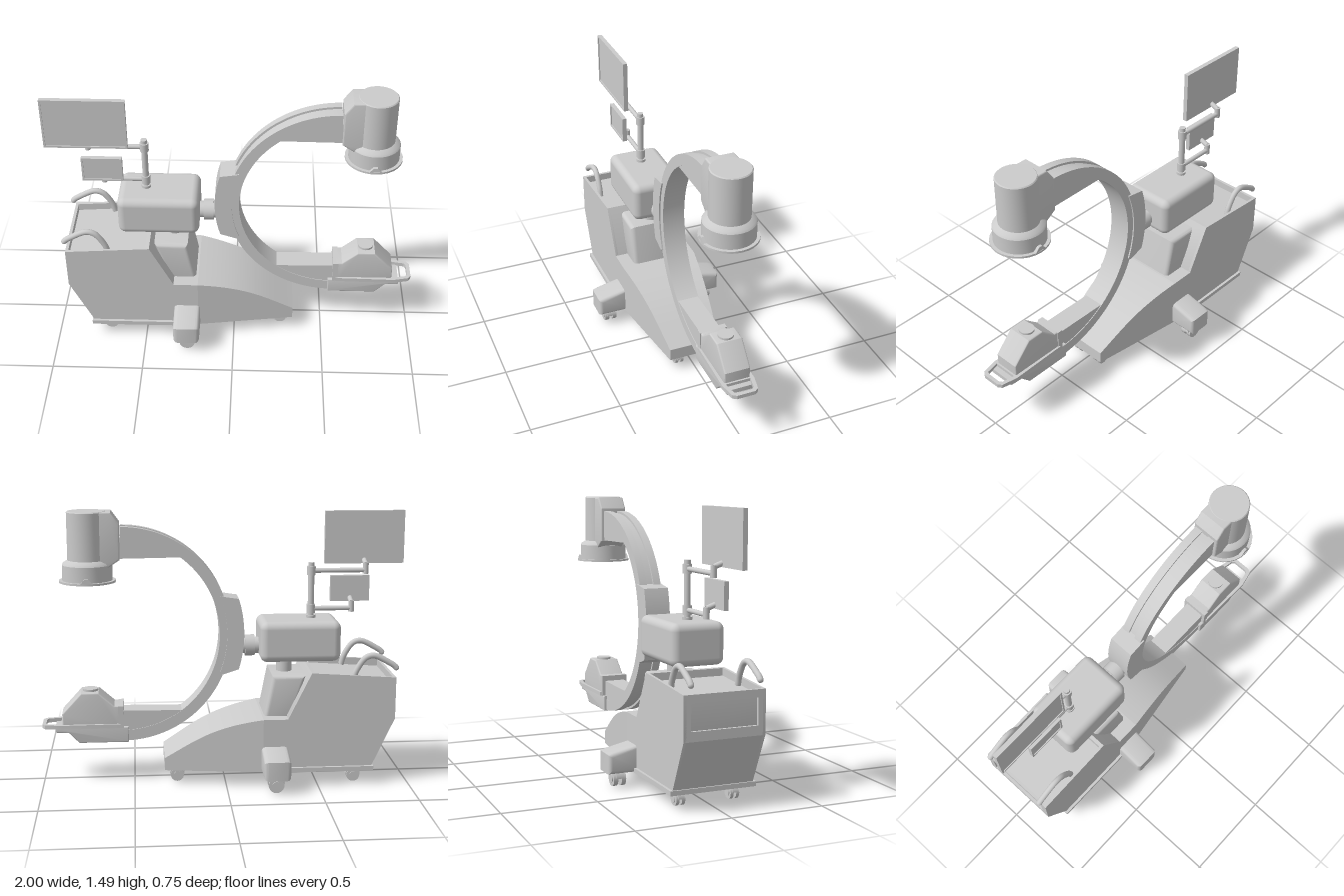
import * as THREE from 'three';
import { toCreasedNormals } from 'three/addons/utils/BufferGeometryUtils.js';
import { RoundedBoxGeometry } from 'three/addons/geometries/RoundedBoxGeometry.js';

const material = new THREE.MeshStandardMaterial({ color: 0xcccccc });

export function createModel() {
  const model = new THREE.Group();

  const add = (name, geometry, x = 0, y = 0, z = 0, parent = model) => {
    const mesh = new THREE.Mesh(geometry, material);
    mesh.name = name;
    mesh.position.set(x, y, z);
    parent.add(mesh);
    return mesh;
  };
  const poly = (pts) => new THREE.Shape(pts.map(([x, y]) => new THREE.Vector2(x, y)));
  // Side profile in x/y swept from z0 to z1, with an optional rounded edge
  const slab = (shape, z0, z1, bevel = 0) => {
    const geometry = new THREE.ExtrudeGeometry(shape, {
      depth: z1 - z0 - 2 * bevel, curveSegments: 48, bevelEnabled: bevel > 0,
      bevelSize: bevel, bevelThickness: bevel, bevelOffset: -bevel, bevelSegments: 4,
    }).translate(0, 0, z0 + bevel);
    return toCreasedNormals(geometry, 0.5);
  };
  const box = (name, x0, x1, y0, y1, z0, z1, parent) =>
    add(name, new THREE.BoxGeometry(x1 - x0, y1 - y0, z1 - z0),
      (x0 + x1) / 2, (y0 + y1) / 2, (z0 + z1) / 2, parent);
  // Cylinder between two points
  const rod = (name, a, b, r, parent = model) => {
    const p = new THREE.Vector3(...a), q = new THREE.Vector3(...b);
    const d = q.clone().sub(p);
    const mesh = add(name, new THREE.CylinderGeometry(r, r, d.length(), 28), 0, 0, 0, parent);
    mesh.position.copy(p).add(q).multiplyScalar(0.5);
    mesh.quaternion.setFromUnitVectors(new THREE.Vector3(0, 1, 0), d.normalize());
    return mesh;
  };

  // Cabinet with a sunken top tray and a framed rear panel
  const core = [[-0.79, 0.09], [-0.335, 0.09], [-0.335, 0.38], [-0.46, 0.632],
    [-0.48, 0.63], [-0.48, 0.59], [-0.905, 0.56], [-0.905, 0.37]];
  add('cabinet', slab(poly(core), -0.205, 0.205));
  const wall = poly([[-0.79, 0.09], [-0.335, 0.09], [-0.335, 0.38], [-0.46, 0.632],
    [-0.92, 0.6], [-0.92, 0.37]]);
  for (const s of [-1, 1]) add('cabinetSide', slab(wall, s * 0.2125 - 0.0075, s * 0.2125 + 0.0075));
  const frame = poly([[-0.22, 0.37], [0.22, 0.37], [0.22, 0.6], [-0.22, 0.6]]);
  frame.holes.push(new THREE.Path(poly([[-0.18, 0.42], [-0.18, 0.56], [0.18, 0.56], [0.18, 0.42]]).getPoints()));
  add('rearFrame', slab(frame, 0, 0.016).rotateY(Math.PI / 2), -0.92);
  add('rearSlope', slab(poly([[-0.92, 0.37], [-0.79, 0.09], [-0.77, 0.09], [-0.9, 0.37]]), -0.21, 0.21));
  box('basePlate', -0.805, -0.335, 0.08, 0.105, -0.235, 0.235);

  // Low front body, curved on top and tapering forward
  box('frontBodyRear', -0.335, -0.2, 0.08, 0.376, -0.22, 0.22);
  const nose = new THREE.Shape();
  nose.moveTo(-0.2, 0.08);
  nose.lineTo(0.335, 0.08);
  nose.lineTo(0.335, 0.15);
  nose.bezierCurveTo(0.17, 0.25, 0.08, 0.33, -0.2, 0.376);
  let body = slab(nose, -1, 1);
  const pos = body.attributes.position;
  for (let i = 0; i < pos.count; i++) {
    const t = (pos.getX(i) + 0.2) / 0.535;
    pos.setZ(i, pos.getZ(i) * (0.22 - 0.075 * t));
  }
  body = toCreasedNormals(body, 0.5);
  add('frontBody', body);

  // Push handles above the tray
  const handlePath = new THREE.CatmullRomCurve3([[-0.69, 0.58], [-0.705, 0.63], [-0.755, 0.703], [-0.8, 0.716],
    [-0.89, 0.674], [-0.915, 0.658], [-0.925, 0.647]].map(([x, y]) => new THREE.Vector3(x, y, 0)));
  for (const s of [-1, 1]) {
    add('pushHandle', new THREE.TubeGeometry(handlePath, 40, 0.016, 14), 0, 0, s * 0.185);
    add('handleTip', new THREE.SphereGeometry(0.016, 14, 10), -0.925, 0.647, s * 0.185);
  }

  // Twin-wheel casters
  const caster = (x, z, r, w) => {
    const group = new THREE.Group();
    group.name = 'caster';
    group.position.set(x, 0, z);
    for (const s of [-1, 1]) {
      rod('wheel', [0, r, s * w * 0.3], [0, r, s * w], r, group);
      rod('hub', [0, r, s * w], [0, r, s * (w + 0.004)], r * 0.55, group);
    }
    const hood = new THREE.CylinderGeometry(r * 1.12, r * 1.12, w * 1.3, 24, 1, false, 0, Math.PI)
      .rotateX(Math.PI / 2).rotateZ(Math.PI / 2);
    add('hood', hood, 0, r * 1.1, 0, group);
    rod('stem', [0, r, 0], [0, 0.1, 0], r * 0.45, group);
    model.add(group);
  };

  // Side outriggers
  const outrigger = poly([[0.2, 0.08], [0.375, 0.08], [0.375, 0.185], [0.345, 0.195], [0.2, 0.228]]);
  for (const s of [-1, 1]) {
    const g = slab(outrigger, -0.0725, 0.0725, 0.022).rotateY(-Math.PI / 2);
    const mesh = add('outrigger', g, -0.2625, 0, 0);
    if (s < 0) mesh.rotation.y = Math.PI;
    caster(-0.26, s * 0.3, 0.042, 0.034);
    caster(-0.705, s * 0.15, 0.036, 0.024);
    caster(0.265, s * 0.075, 0.036, 0.024);
  }

  // Column, neck and upper housing
  add('column', slab(poly([[-0.44, 0.6], [-0.36, 0.34], [-0.205, 0.34], [-0.255, 0.6]]), -0.147, 0.147, 0.025));
  rod('neck', [-0.335, 0.58, 0], [-0.335, 0.68, 0], 0.043);
  rod('neckFlange', [-0.335, 0.655, 0], [-0.335, 0.675, 0], 0.057);
  add('upperHousing', new RoundedBoxGeometry(0.44, 0.222, 0.294, 5, 0.04), -0.41, 0.784, 0);
  rod('wristShaft', [-0.22, 0.745, 0], [-0.08, 0.745, 0], 0.046);
  rod('wristCollar', [-0.168, 0.745, 0], [-0.115, 0.745, 0], 0.058);

  // C-shaped arm: web, two outer rails and filled ends
  const cx = 0.555, cy = 0.82;
  const band = (r0, r1, a0 = Math.PI / 2, a1 = Math.PI * 1.5) => {
    const shape = new THREE.Shape();
    shape.absarc(cx, cy, r1, a0, a1, false);
    shape.absarc(cx, cy, r0, a1, a0, true);
    return shape;
  };
  add('arcWeb', slab(band(0.53, 0.578), -0.062, 0.062));
  for (const s of [-1, 1]) add('arcRail', slab(band(0.575, 0.59), s * 0.041 - 0.021, s * 0.041 + 0.021));
  const chord = Math.asin(0.42 / 0.53);
  for (const s of [-1, 1]) {
    const end = new THREE.Shape();
    end.moveTo(0.57, cy + s * 0.42);
    end.lineTo(0.57, cy + s * 0.535);
    end.absarc(cx, cy, 0.535, s * Math.PI / 2, s * (Math.PI - chord), s < 0);
    add('arcEndWeb', slab(end, -0.058, 0.058));
  }
  // Carriage gripping the arc
  const carriage = new THREE.Shape();
  const grip = 0.3;
  carriage.moveTo(0.012, 1.045);
  carriage.absarc(cx, cy, 0.662, Math.PI - grip, Math.PI + grip, false);
  carriage.lineTo(0.012, 0.595);
  carriage.absarc(cx, cy, 0.57, Math.PI + 0.38, Math.PI - 0.38, true);
  add('carriage', slab(carriage, -0.07, 0.07));

  // Upper detector: stepped drum, bracket and bottom flange
  const dx = 0.735;
  const drum = [[0, 1.12], [0.135, 1.12], [0.135, 1.205], [0.128, 1.216], [0.105, 1.23],
    [0.105, 1.485], [0.1, 1.49], [0, 1.49]].map(([r, y]) => new THREE.Vector2(r, y));
  add('detectorDrum', toCreasedNormals(new THREE.LatheGeometry(drum, 48), 0.5), dx);
  add('detectorBracket', slab(poly([[0.56, 1.235], [0.62, 1.195], [dx, 1.195], [dx, 1.488], [0.605, 1.488],
    [0.56, 1.425]]), -0.077, 0.077, 0.008));
  rod('detectorFlange', [dx, 1.11, 0], [dx, 1.121, 0], 0.153);
  for (const s of [-1, 1]) {
    const tab = slab(poly([[-0.035, 0], [0.035, 0], [0.01, 0.028], [-0.01, 0.028]]), -0.01, 0.01);
    add('flangeTab', tab, dx, 1.117, s * 0.14);
  }

  // Lower source: tray, hump, cap and looped guard
  add('sourceBase', slab(poly([[0.53, 0.225], [0.8, 0.225], [0.855, 0.282], [0.93, 0.287], [0.93, 0.312],
    [0.53, 0.312]]), -0.077, 0.077, 0.006));
  add('sourceHump', slab(poly([[0.575, 0.3], [0.89, 0.3], [0.89, 0.39], [0.785, 0.505], [0.69, 0.505],
    [0.605, 0.43], [0.575, 0.43]]), -0.072, 0.072, 0.008));
  box('sourceCollar', 0.555, 0.585, 0.3, 0.43, -0.077, 0.077);
  rod('sourceCap', [0.735, 0.5, 0], [0.735, 0.517, 0], 0.042);
  const guard = poly([[0.575, -0.083], [0.9, -0.09], [0.985, -0.072], [1, -0.05], [1, 0.05], [0.985, 0.072],
    [0.9, 0.09], [0.575, 0.083]]);
  guard.holes.push(new THREE.Path(poly([[0.9, -0.068], [0.9, 0.068], [0.97, 0.055], [0.98, 0.04],
    [0.98, -0.04], [0.97, -0.055]]).getPoints()));
  add('sourceGuard', slab(guard, 0, 0.022).rotateX(-Math.PI / 2), 0, 0.308);

  // Monitor pole, arms and screens
  const px = -0.48;
  rod('monitorPole', [px, 0.88, 0], [px, 1.2, 0], 0.017);
  rod('poleFoot', [px, 0.89, 0], [px, 0.91, 0], 0.026);
  const screen = (x0, x1, y0, y1, armX, armY) => {
    const b = 0.01;
    rod('armCollar', [px, armY - 0.024, 0], [px, armY + 0.024, 0], 0.024);
    rod('monitorArm', [px, armY, 0], [armX, armY, 0], 0.013);
    rod('armPin', [armX, armY - 0.02, 0], [armX, armY + 0.04, 0], 0.016);
    rod('screenMount', [armX, armY + 0.032, 0], [armX, armY + 0.05, 0.05], 0.014);
    box('screen', x0, x1, y0, y1, 0.042, 0.061);
    // Raised bezel around the display
    const bezel = poly([[x0, y0], [x1, y0], [x1, y1], [x0, y1]]);
    bezel.holes.push(new THREE.Path(poly([[x0 + b, y0 + b], [x0 + b, y1 - b], [x1 - b, y1 - b],
      [x1 - b, y0 + b]]).getPoints()));
    add('screenBezel', slab(bezel, 0.06, 0.067));
  };
  screen(-1, -0.56, 1.185, 1.475, -0.78, 1.155);
  screen(-0.812, -0.595, 0.975, 1.118, -0.705, 0.945);

  return model;
}
